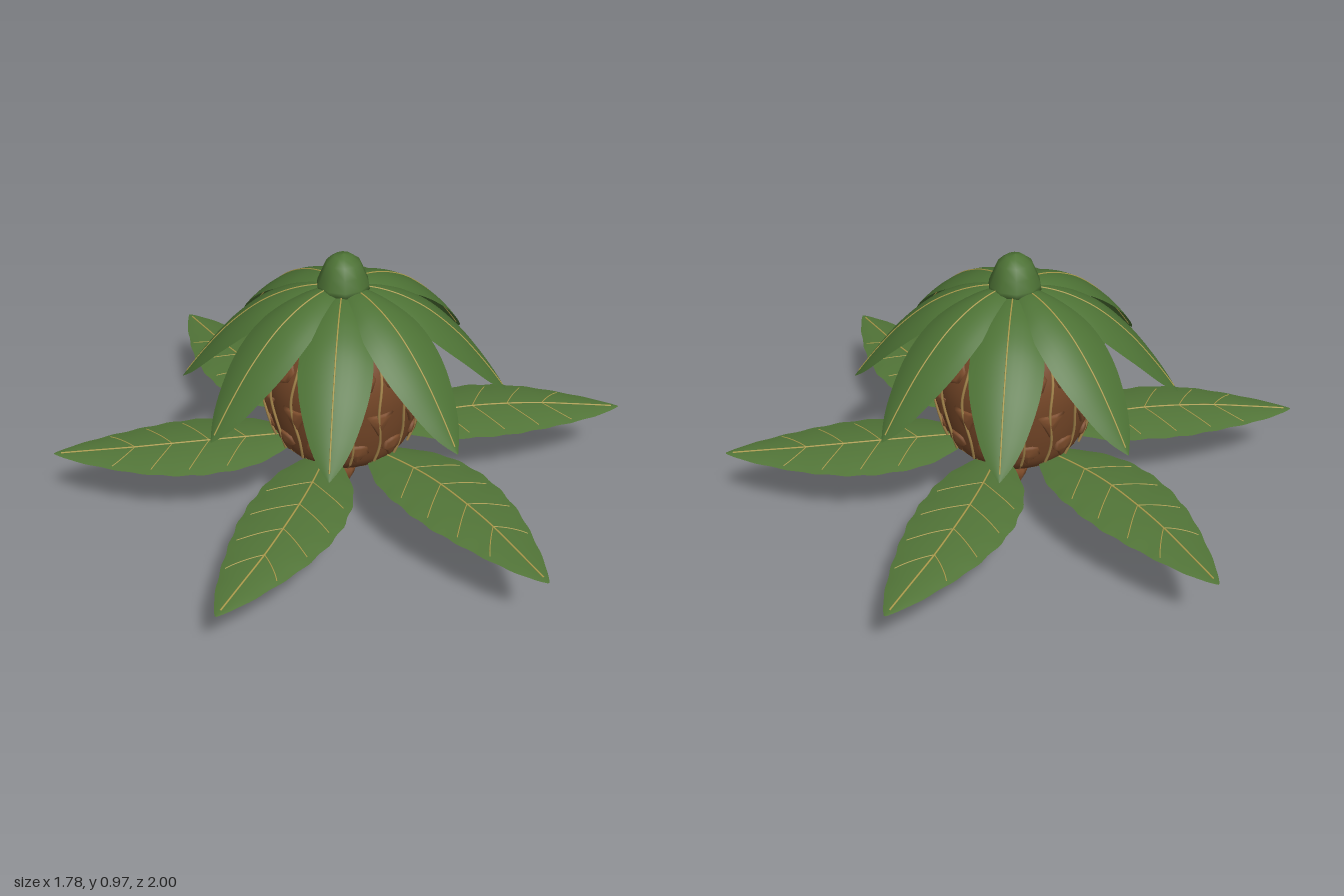
import * as THREE from 'three';

const material = (name, color, side = THREE.FrontSide) => {
  const m = new THREE.MeshStandardMaterial({ color, side });
  m.name = name;
  return m;
};
const V2 = (x, y) => new THREE.Vector2(x, y);

// Grid of quads over point(u, v), both 0..1
function surface(point, nu, nv) {
  const pos = [], idx = [];
  for (let i = 0; i <= nu; i++)
    for (let j = 0; j <= nv; j++) pos.push(...point(i / nu, j / nv));
  for (let i = 0; i < nu; i++)
    for (let j = 0; j < nv; j++) {
      const a = i * (nv + 1) + j, b = a + nv + 1;
      idx.push(a, b, a + 1, b, b + 1, a + 1);
    }
  const g = new THREE.BufferGeometry();
  g.setAttribute('position', new THREE.Float32BufferAttribute(pos, 3));
  g.setIndex(idx);
  g.computeVertexNormals();
  return g;
}

// Thin round tube following point(t), t 0..1
function vein(point, r, n) {
  const pts = Array.from({ length: n + 1 }, (_, i) => new THREE.Vector3(...point(i / n)));
  return new THREE.TubeGeometry(new THREE.CatmullRomCurve3(pts), n * 2, r, 14);
}

// Curve of (distance, value) points, sampled as value at a distance
function sampler(points) {
  const p = new THREE.SplineCurve(points.map(([a, b]) => V2(a, b))).getPoints(80);
  return (t) => {
    let i = 1;
    while (i < p.length - 1 && p[i].x < t) i++;
    const k = (t - p[i - 1].x) / (p[i].x - p[i - 1].x || 1);
    return p[i - 1].y + (p[i].y - p[i - 1].y) * Math.min(1, Math.max(0, k));
  };
}

export function createModel() {
  const root = new THREE.Group();
  const upperGreen = material('upper leaf green', 0x4d7235, THREE.DoubleSide);
  const lowerGreen = material('lower leaf green', 0x527538, THREE.DoubleSide);
  const brown = material('husk brown', 0x754728);
  const scaleBrown = material('scale brown', 0x7c4c2b, THREE.DoubleSide);
  const tipBrown = material('tip brown', 0x8d5630);
  const gold = material('gold vein', 0xa8994a);
  const seamGold = material('seam gold', 0xa3834a);

  const add = (parent, name, geometry, mat) => {
    const mesh = new THREE.Mesh(geometry, mat);
    mesh.name = name;
    parent.add(mesh);
    return mesh;
  };

  // Pod body
  const bodyProfile = [[0.15, 0.03], [0.19, 0.108], [0.235, 0.174], [0.29, 0.227], [0.37, 0.254], [0.46, 0.272],
    [0.56, 0.28], [0.65, 0.262], [0.74, 0.21], [0.81, 0.13], [0.86, 0.04]];
  const radius = sampler(bodyProfile);
  const bodyPoints = Array.from({ length: 37 }, (_, i) => {
    const y = 0.15 + 0.71 * i / 36;
    return V2(radius(y), y);
  });
  add(root, 'podBody', new THREE.LatheGeometry(bodyPoints, 48), brown);
  const onBody = (a, y, lift) => {
    const r = radius(y) + lift;
    return [r * Math.sin(a), y, r * Math.cos(a)];
  };

  // Scales in three staggered rows: shields, hanging triangles and upright points
  const shield = [[0, -1], [0.5, -0.3], [1, 0.1], [0.8, 0.75], [0.3, 0.9], [-0.3, 0.9], [-0.8, 0.75], [-1, 0.1], [-0.5, -0.3]];
  const triangle = [[0, -1], [0.5, -0.15], [1, 0.7], [0.4, 0.65], [-0.4, 0.65], [-1, 0.7], [-0.5, -0.15]];
  const upright = [[0, -0.8], [0.7, -0.6], [1, -0.1], [0.6, 0.4], [0, 1], [-0.6, 0.4], [-1, -0.1], [-0.7, -0.6]];
  function scaleGeometry(outline, y, halfAngle, h) {
    const n = outline.length;
    const rings = [[0, 0.014], [0.8, 0.011], [1, 0.006], [1.03, -0.006]];
    return surface((u, v) => {
      const [a, b] = outline[Math.round(v * n) % n];
      const [s, lift] = rings[Math.round(u * 3)];
      return onBody(a * s * halfAngle, y + b * s * h, lift);
    }, 3, n);
  }
  const scales = new THREE.Group();
  scales.name = 'scales';
  root.add(scales);
  [[shield, 0.345, 0.16, 0.045, 0], [triangle, 0.475, 0.17, 0.055, 0.5], [upright, 0.655, 0.22, 0.075, 0]]
    .forEach(([outline, y, w, h, shift]) => {
      const g = scaleGeometry(outline, y, w, h);
      for (let i = 0; i < 12; i++)
        add(scales, 'scale', g, scaleBrown).rotation.y = (i + shift) * Math.PI / 6;
    });

  // Gold seams up the sides and fine ones on the underside
  const seams = new THREE.Group();
  seams.name = 'seams';
  root.add(seams);
  const seam = vein((t) => onBody(0.03 * Math.sin(t * 9), 0.3 + 0.43 * t, 0.009), 0.0045, 10);
  const lowSeam = vein((t) => onBody(0, 0.17 + 0.12 * t, 0), 0.0018, 5);
  for (let i = 0; i < 18; i++) {
    const a = (i + 0.25) * Math.PI / 9;
    add(seams, 'sideSeam', seam, seamGold).rotation.y = a;
    add(seams, 'undersideSeam', lowSeam, seamGold).rotation.y = a;
  }

  // Faceted tip below and cap above
  const tip = [[0, 0.005], [0.018, 0.045], [0.038, 0.085], [0.047, 0.115], [0.042, 0.14], [0.034, 0.175]];
  add(root, 'bottomTip', new THREE.LatheGeometry(tip.map(([r, y]) => V2(r, y)), 8), tipBrown);
  const cap = [[0.05, 0.825], [0.09, 0.845], [0.087, 0.868], [0.072, 0.905], [0.056, 0.943], [0.03, 0.963], [0, 0.971]];
  add(root, 'cap', new THREE.LatheGeometry(cap.map(([r, y]) => V2(r, y)), 10), upperGreen);

  // A leaf reaching along +z, with midrib and paired side veins
  function makeLeaf(name, { r0, r1, height, width, centre, droop, wave, pairs, mat, ribSize }) {
    const at = (u, s, lift = 0) => {
      const z = r0 + (r1 - r0) * u;
      const w = width(z) * (1 + wave * Math.abs(s) * Math.sin(u * 52));
      return [centre(z) + s * w, height(z) - droop * s * s * width(z) + lift, z];
    };
    const leaf = new THREE.Group();
    leaf.name = name;
    add(leaf, 'blade', surface((u, v) => at(u, 2 * v - 1), 48, 10), mat);
    add(leaf, 'midrib', vein((t) => at(0.03 + t * 0.94, 0), ribSize, 16), gold);
    for (let i = 0; i < pairs; i++)
      for (const side of [-1, 1])
        add(leaf, 'sideVein', vein((t) => at(0.2 + 0.62 * i / pairs + t * 0.1, side * t * 0.85), 0.0018, 5), gold);
    return leaf;
  }

  // Eight drooping upper leaves, every other one tucked slightly under
  const upper = makeLeaf('upperLeaf', {
    r0: 0.05, r1: 0.556,
    height: sampler([[0.05, 0.866], [0.12, 0.857], [0.2, 0.831], [0.29, 0.78], [0.39, 0.692], [0.48, 0.586], [0.556, 0.482]]),
    width: sampler([[0.05, 0.04], [0.12, 0.074], [0.2, 0.105], [0.29, 0.118], [0.37, 0.111], [0.45, 0.083], [0.51, 0.048], [0.556, 0.002]]),
    centre: () => 0, droop: 0.32, wave: 0, pairs: 0, mat: upperGreen, ribSize: 0.0025,
  });
  // Six wide spreading lower leaves
  const lower = makeLeaf('lowerLeaf', {
    r0: 0.18, r1: 1,
    height: sampler([[0.18, 0.282], [0.3, 0.294], [0.45, 0.302], [0.65, 0.298], [0.85, 0.285], [1, 0.273]]),
    width: sampler([[0.18, 0.045], [0.25, 0.1], [0.35, 0.145], [0.48, 0.162], [0.6, 0.155], [0.74, 0.122], [0.88, 0.07], [0.96, 0.03], [1, 0.003]]),
    centre: sampler([[0.18, 0], [0.35, 0.015], [0.5, 0.017], [0.7, 0.004], [0.85, -0.017], [1, -0.04]]),
    droop: 0.14, wave: 0.02, pairs: 4, mat: lowerGreen, ribSize: 0.003,
  });
  const ringOf = (leaf, count, tuck) => {
    for (let i = 0; i < count; i++) {
      const copy = leaf.clone();
      copy.rotation.y = i * 2 * Math.PI / count;
      copy.position.y = -tuck * (i % 2);
      root.add(copy);
    }
  };
  ringOf(upper, 8, 0.01);
  ringOf(lower, 6, 0);
  return root;
}
